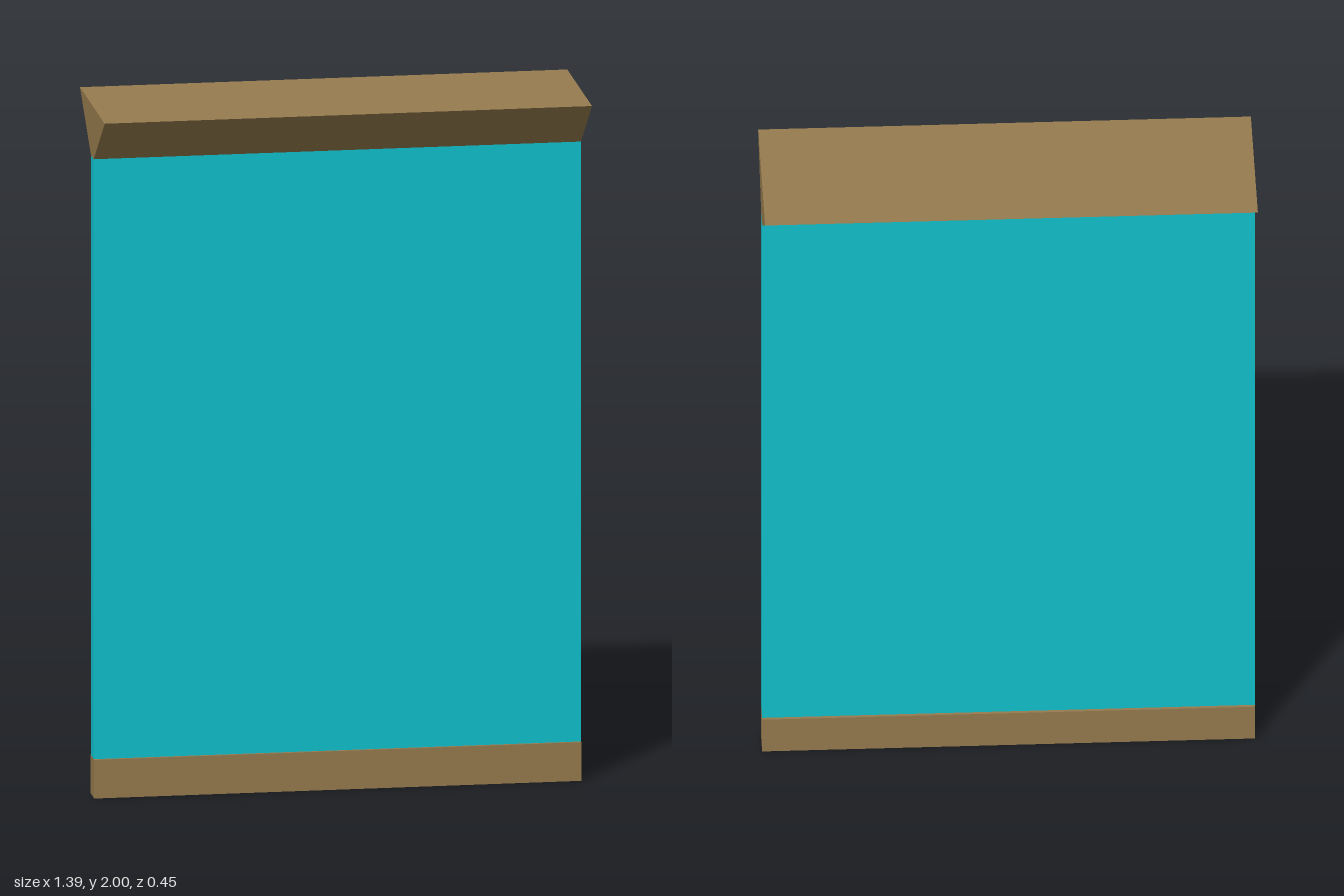
import * as THREE from 'three';

const WIDTH = 1.39;

// Extrudes a symmetric [halfDepth, y] profile along x
function bar(name, color, bottom, top) {
  const [b, y0] = bottom, [t, y1] = top;
  const shape = new THREE.Shape([
    new THREE.Vector2(-b, y0), new THREE.Vector2(b, y0),
    new THREE.Vector2(t, y1), new THREE.Vector2(-t, y1),
  ]);
  const geometry = new THREE.ExtrudeGeometry(shape, { depth: WIDTH, bevelEnabled: false });
  geometry.translate(0, 0, -WIDTH / 2).rotateY(Math.PI / 2);
  const mesh = new THREE.Mesh(geometry, new THREE.MeshStandardMaterial({ color, flatShading: true }));
  mesh.name = name;
  return mesh;
}

export function createModel() {
  const group = new THREE.Group();
  group.name = 'panelWall';
  const wood = 0x967b4e, glass = 0x10c1ce;
  group.add(
    // Plinth, slightly thicker than the pane
    bar('baseRail', wood, [0.034, 0], [0.034, 0.112]),
    // Thin pane between the rails
    bar('pane', glass, [0.025, 0.112], [0.025, 1.85]),
    // Cap flaring out to a wide flat top
    bar('flaredCap', wood, [0.025, 1.85], [0.225, 2]),
  );
  return group;
}
